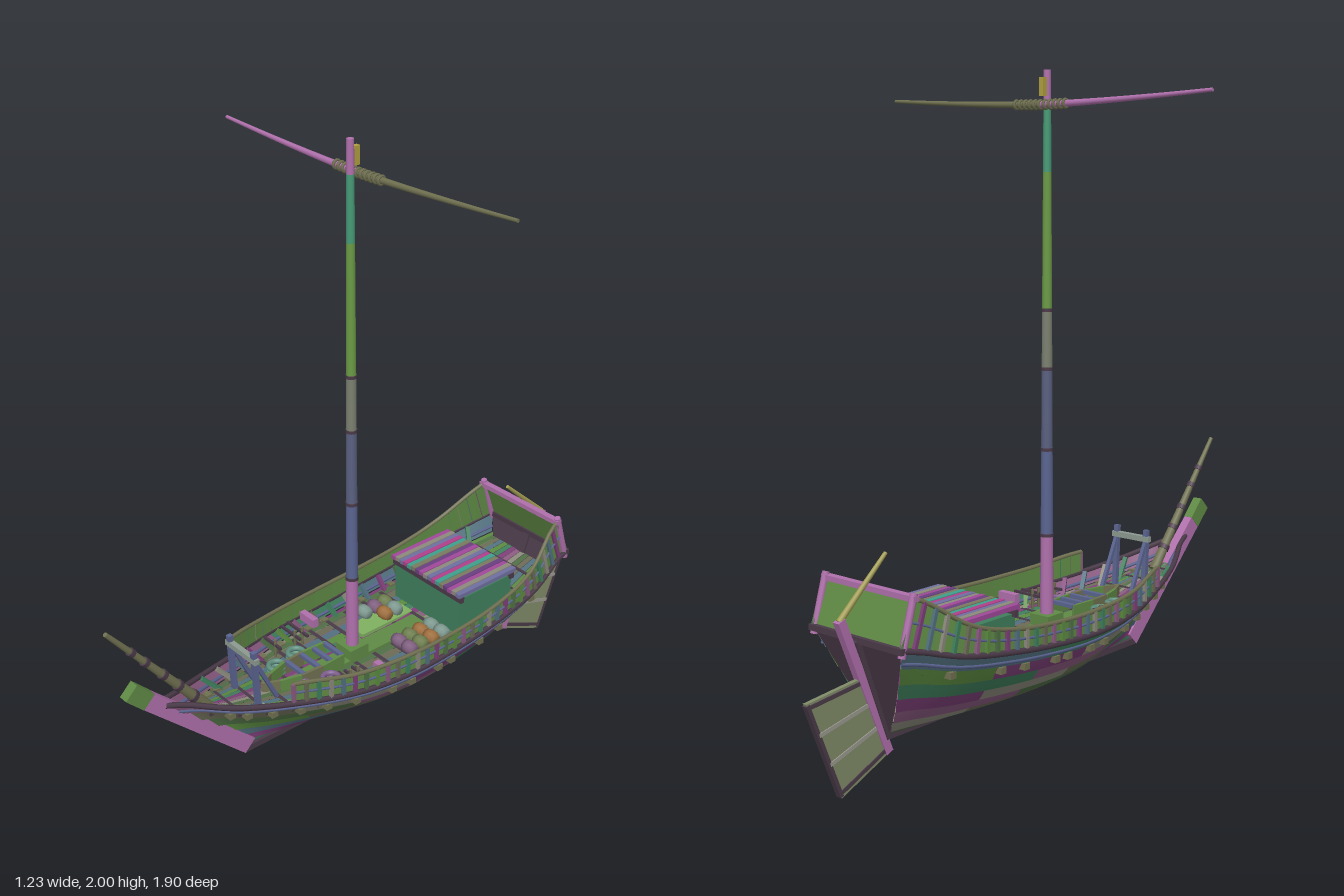
import * as THREE from 'three';

const V = (x, y, z) => new THREE.Vector3(x, y, z);
const lerp = THREE.MathUtils.lerp;
const PLANKS = [0x4f6f45, 0x7d3f78, 0x52707f, 0x8c8a7c, 0x3f7f5c, 0x6a6a55, 0x8a5a80, 0x5a8a3f];
const GREEN = 0x5f8a45, PINK = 0xb070ac, DARK = 0x4a3a48, OLIVE = 0x6f7050, BLUE = 0x5a6490;
const mats = {};
const mat = (c) => (mats[c] ??= new THREE.MeshStandardMaterial({ color: c, side: THREE.DoubleSide }));

// evenly spaced values -> smooth function of 0..1
const spline = (ys) => {
  const c = new THREE.SplineCurve(ys.map((y, i) => new THREE.Vector2(i, y)));
  return (t) => c.getPoint(t).y;
};
const beam = spline([0.175, 0.222, 0.24, 0.245, 0.24, 0.218, 0.165, 0.098, 0.012]);
const sheer = spline([0.44, 0.39, 0.36, 0.34, 0.33, 0.338, 0.36, 0.395, 0.45]);
const bulwarkTop = spline([0.575, 0.475, 0.425, 0.405, 0.4, 0.408, 0.435]);
const BOW_END = 0.765;

// hull: u runs stern to bow, v runs keel to sheer
function hull(u, v, s = 1, out = 0) {
  const p = 0.37 + 0.5 * u ** 4 + 0.45 * (1 - u) ** 4;
  const keel = 0.13 + 0.02 * u ** 6;
  return V(s * (beam(u) * Math.max(v, 0) ** p + out), lerp(keel, sheer(u), v),
    lerp(-0.64 - 0.11 * v, 0.48 + 0.3 * v, u));
}
function bulwark(u, t, s, out = 0) {
  const b = hull(u, 1, s, out);
  b.y = lerp(b.y, bulwarkTop(u / BOW_END), t);
  b.z += 0.05 * t * Math.max(0, 1 - u / 0.2);
  return b;
}
const uAt = (z) => (z + 0.75) / 1.53;

function surface(fn, nu, nv) {
  const pos = [], idx = [];
  for (let i = 0; i <= nu; i++) for (let j = 0; j <= nv; j++) pos.push(...fn(i / nu, j / nv).toArray());
  for (let i = 0; i < nu; i++) for (let j = 0; j < nv; j++) {
    const a = i * (nv + 1) + j, b = a + nv + 1;
    idx.push(a, b, a + 1, b, b + 1, a + 1);
  }
  const g = new THREE.BufferGeometry();
  g.setAttribute('position', new THREE.Float32BufferAttribute(pos, 3));
  g.setIndex(idx);
  g.computeVertexNormals();
  return g;
}

export function createModel() {
  const root = new THREE.Group();
  const add = (name, geo, color, x = 0, y = 0, z = 0) => {
    const m = new THREE.Mesh(geo, mat(color));
    m.name = name;
    m.position.set(x, y, z);
    root.add(m);
    return m;
  };
  const box = (name, w, h, d, c, x, y, z) => add(name, new THREE.BoxGeometry(w, h, d), c, x, y, z);
  const between = (name, geo, a, b, c) => {
    const m = add(name, geo, c, ...a.clone().lerp(b, 0.5).toArray());
    m.lookAt(b);
    return m;
  };
  const bar = (name, a, b, w, h, c) => between(name, new THREE.BoxGeometry(w, h, a.distanceTo(b)), a, b, c);
  const rod = (name, a, b, r0, r1, c, n = 10) =>
    between(name, new THREE.CylinderGeometry(r1, r0, a.distanceTo(b), n).rotateX(Math.PI / 2), a, b, c);
  const tube = (name, fn, r, c, n = 40) => add(name, new THREE.TubeGeometry(new THREE.CatmullRomCurve3(
    Array.from({ length: 25 }, (_, i) => fn(i / 24))), n, r, 6), c);

  // hull strakes: overlapping planks in staggered lengths
  const STRAKES = 7;
  const edge = (k) => (k / STRAKES) ** 1.4;
  for (const s of [1, -1]) for (let k = 0; k < STRAKES; k++) {
    const cuts = k % 2 ? [0, 0.22, 0.5, 0.78, 1] : [0, 0.36, 0.64, 1];
    for (let i = 0; i < cuts.length - 1; i++) {
      add('hullPlank', surface((a, b) => hull(lerp(cuts[i], cuts[i + 1], a),
        lerp(edge(k), edge(k + 1), b), s, k ? 0.005 * (1 - b) : 0), 12, 3), PLANKS[(k * 3 + i * 2) % 8]);
    }
  }
  add('transom', surface((a, v) => hull(0, v).multiply(V(2 * a - 1, 1, 1)), 4, 10), DARK);
  add('sternPanel', surface((a, t) => bulwark(0, t, 1).multiply(V(2 * a - 1, 1, 1)), 2, 2), GREEN);
  box('sternRail', 0.37, 0.016, 0.022, PINK, 0, 0.575, -0.7);
  box('sternSill', 0.37, 0.018, 0.02, DARK, 0, 0.44, -0.75);

  // backbone
  bar('keel', V(0, 0.135, -0.64), V(0, 0.14, 0.5), 0.026, 0.02, DARK);
  bar('stemPost', V(0, 0.15, 0.485), V(0, 0.49, 0.835), 0.03, 0.055, PINK);
  bar('stemHead', V(0, 0.49, 0.835), V(0, 0.548, 0.892), 0.032, 0.056, GREEN);
  bar('sternPost', V(0, 0.13, -0.64), V(0, 0.44, -0.755), 0.03, 0.025, DARK);

  for (const s of [1, -1]) {
    // rails, wale and bulwark
    tube('gunwale', (t) => hull(t, 1, s, 0.002), 0.009, DARK);
    tube('wale', (t) => hull(t, 0.86, s, 0.003), 0.006, BLUE);
    add('bulwarkPanel', surface((a, t) => bulwark(a * BOW_END, t, s, -0.004), 32, 2), GREEN);
    tube('bulwarkRail', (t) => bulwark(t * BOW_END, 1, s), 0.007, OLIVE);
    tube('bulwarkMidRail', (t) => bulwark(t * BOW_END, 0.55, s, 0.002), 0.004, BLUE);
    for (let i = 0; i <= 30; i++) {
      const u = i / 30 * BOW_END;
      bar('bulwarkStanchion', bulwark(u, 0, s, 0.002), bulwark(u, 1, s, 0.002), 0.01, 0.012, PLANKS[i % 8]);
    }
    rod('quarterPost', V(s * 0.175, 0.42, -0.75), V(s * 0.175, 0.59, -0.7), 0.011, 0.011, PINK, 8);
    // through-beam ends
    for (const z of [0.65, 0.6, 0.52, 0.43, 0.34, 0.24, 0.1, 0.02, -0.1, -0.16, -0.3, -0.4, -0.59]) {
      const p = hull(uAt(z), 0.76, s, 0.004);
      box('beamEnd', 0.028, 0.02, 0.022, OLIVE, p.x, p.y, p.z);
    }
    // inner frames, knees and belaying pins
    for (let i = 1; i < 18; i++) {
      const u = 0.02 + i * 0.05;
      bar('frame', hull(u, 0.7, s, -0.01), hull(u, 1, s, -0.008), 0.014, 0.012, PLANKS[(i + 3) % 8]);
    }
    box('mastKnee', 0.07, 0.03, 0.022, PINK, s * 0.185, 0.345, 0.085);
    for (const z of [0.15, 0.18, 0.26]) {
      bar('pinRail', V(s * 0.11, 0.345, z), V(s * (beam(uAt(z)) - 0.01), 0.345, z), 0.008, 0.008, DARK);
      rod('belayingPin', V(s * 0.14, 0.3, z), V(s * 0.14, 0.365, z), 0.005, 0.005, OLIVE, 6);
    }
  }

  // deck planks narrowing with the hull, on cross beams
  const deck = (u) => hull(u, 0.78);
  const ROWS = 14;
  for (let j = 0; j < ROWS; j++) add('deckPlank', surface((a, b) => {
    const p = deck(lerp(0.005, 0.97, a));
    p.x *= 0.985 * ((j + 0.04 + b * 0.92) / ROWS * 2 - 1);
    return p;
  }, 24, 1), PLANKS[(j * 5) % 8]);
  for (let i = 1; i < 18; i++) {
    const p = deck(i / 18);
    box('deckBeam', p.x * 1.9, 0.014, 0.014, DARK, 0, p.y - 0.006, p.z);
  }
  box('centrePlank', 0.07, 0.012, 0.62, GREEN, 0, 0.293, 0.03);
  box('hatchCover', 0.075, 0.012, 0.22, 0x7fb060, -0.085, 0.296, -0.14);

  // deckhouse with a planked roof
  box('deckhouseWall', 0.31, 0.14, 0.24, 0x3f7f5c, 0, 0.365, -0.39);
  const stripes = [0xa0489a, 0x8c8a7c, 0x6f6fa0, 0xb0408a, 0x3f9f8c, 0x7a7a60, 0x6a3f80];
  for (let i = 0; i < 17; i++) {
    box('roofPlank', 0.0185, 0.014, 0.26, stripes[i % 7], (i - 8) * 0.0195, 0.456 + (i % 2) * 0.002, -0.39);
  }
  for (const z of [-0.275, -0.505]) box('roofBeam', 0.33, 0.02, 0.016, DARK, 0, 0.437, z);

  // barrels lying on their sides
  const barrel = new THREE.LatheGeometry([[0, -0.024], [0.017, -0.024], [0.023, -0.008], [0.023, 0.008],
    [0.017, 0.024], [0, 0.024]].map(([x, y]) => new THREE.Vector2(x, y)), 12).rotateZ(Math.PI / 2);
  [[0.073, -0.225], [0.073, -0.178], [0.073, -0.131], [0.073, -0.084], [0.123, -0.225], [0.123, -0.178],
    [0.123, -0.131], [0.123, -0.084], [-0.08, -0.2], [-0.08, -0.155], [-0.13, -0.2], [-0.13, -0.155], [-0.13, -0.108]]
    .forEach(([x, z], i) => add('barrel', barrel, [0x7f9a90, 0xa0703f, 0x6f7f50, 0x806080][i % 4], x, 0.318, z));

  // small tender on deck, pointed forward
  const tenderSide = [[0.045, 0.13], [0.05, 0.22], [0.045, 0.3], [0.025, 0.37], [0, 0.42]];
  for (const s of [1, -1]) for (let i = 0; i < 4; i++) {
    const [a, b] = [tenderSide[i], tenderSide[i + 1]];
    bar('tenderSide', V(s * a[0], 0.325, a[1]), V(s * b[0], 0.325, b[1]), 0.01, 0.05, i % 2 ? OLIVE : GREEN);
  }
  for (const z of [0.135, 0.18, 0.23, 0.29]) box('tenderThwart', 0.09, 0.012, 0.014, BLUE, 0, 0.345, z);

  // rope coils
  for (const [x, z] of [[0.09, 0.22], [-0.085, 0.22], [0.07, 0.31], [-0.07, 0.31]]) {
    for (const k of [0, 1]) {
      add('ropeCoil', new THREE.TorusGeometry(0.025, 0.009, 8, 20).rotateX(Math.PI / 2), x < 0 ? 0x5f8f80 : 0x806090, x, 0.31 + k * 0.016, z);
    }
  }

  // braced frame on the foredeck
  for (const s of [1, -1]) {
    bar('bowFramePost', V(s * 0.06, 0.3, 0.48), V(s * 0.06, 0.53, 0.492), 0.016, 0.016, BLUE);
    bar('bowFrameBrace', V(s * 0.06, 0.33, 0.41), V(s * 0.06, 0.49, 0.487), 0.012, 0.012, BLUE);
  }
  box('bowFrameBar', 0.15, 0.018, 0.018, 0x8c9a90, 0, 0.5, 0.49);

  // bowsprit with lashings
  const s0 = V(0, 0.36, 0.62), s1 = V(0, 0.77, 0.95);
  rod('bowsprit', s0, s1, 0.018, 0.007, OLIVE);
  for (const t of [0.15, 0.3, 0.45, 0.62, 0.75]) {
    rod('bowspritBand', s0.clone().lerp(s1, t), s0.clone().lerp(s1, t + 0.03), 0.021 - t * 0.01, 0.021 - t * 0.01, DARK);
  }

  // mast in tapering lengths
  const heights = [0.2, 0.42, 0.58, 0.85, 1.1, 1.28, 1.7, 1.9, 2];
  const mastColors = [PINK, PINK, BLUE, 0x5a6080, 0x7a8070, 0x6a9a45, 0x459a75, PINK];
  const mastR = (y) => lerp(0.023, 0.011, y / 2);
  for (let i = 0; i < 8; i++) {
    const [a, b] = [heights[i], heights[i + 1]];
    rod('mast', V(0, a, 0.055), V(0, b, 0.055), mastR(a), mastR(b), mastColors[i], 14);
    if (i > 1 && i < 6) rod('mastBand', V(0, a, 0.055), V(0, a + 0.01, 0.055), mastR(a) + 0.002, mastR(a) + 0.002, DARK, 14);
  }
  box('mastStep', 0.075, 0.05, 0.075, GREEN, 0, 0.31, 0.055);

  // curved yard, each half tapering outward, with lashing
  const yardY = (x) => 1.897 + 0.025 * (Math.abs(x) / 0.61) ** 1.5;
  for (const s of [1, -1]) for (let i = 0; i < 8; i++) {
    const a = s * i * 0.0766, b = s * (i + 1) * 0.0766;
    rod('yard', V(a, yardY(a), 0.025), V(b, yardY(b), 0.025), 0.011 - i * 0.0007, 0.0103 - i * 0.0007, s < 0 ? PINK : OLIVE, 8);
  }
  for (let i = -5; i <= 5; i++) {
    add('yardLashing', new THREE.TorusGeometry(0.012, 0.005, 6, 12).rotateY(Math.PI / 2), OLIVE, i * 0.019, yardY(i * 0.019), 0.025);
  }
  box('halyardBlock', 0.016, 0.055, 0.018, 0xb0a040, 0, 1.95, 0.035);

  // rudder, drawn as a side profile, with straps and tiller
  const blade = new THREE.Shape([[0.75, 0.325], [0.94, 0.305], [0.82, 0.005], [0.635, 0.085]].map(([a, b]) => new THREE.Vector2(a, b)));
  add('rudderBlade', new THREE.ExtrudeGeometry(blade, { depth: 0.014, bevelEnabled: false })
    .translate(0, 0, -0.007).rotateY(Math.PI / 2), 0x7f8a68);
  bar('rudderPost', V(0, 0.085, -0.64), V(0, 0.505, -0.812), 0.024, 0.026, PINK);
  for (const t of [0.03, 0.35, 0.67, 0.97]) {
    bar('rudderStrap', V(0, lerp(0.09, 0.32, t), lerp(-0.645, -0.75, t)),
      V(0, lerp(0.012, 0.302, t), lerp(-0.82, -0.935, t)), 0.02, 0.012, t > 0.9 || t < 0.1 ? DARK : 0x9a9a90);
  }
  bar('rudderEdge', V(0, 0.01, -0.82), V(0, 0.3, -0.935), 0.018, 0.012, DARK);
  rod('tiller', V(0, 0.5, -0.812), V(0, 0.66, -0.635), 0.01, 0.006, 0xa09a50);

  return root;
}
